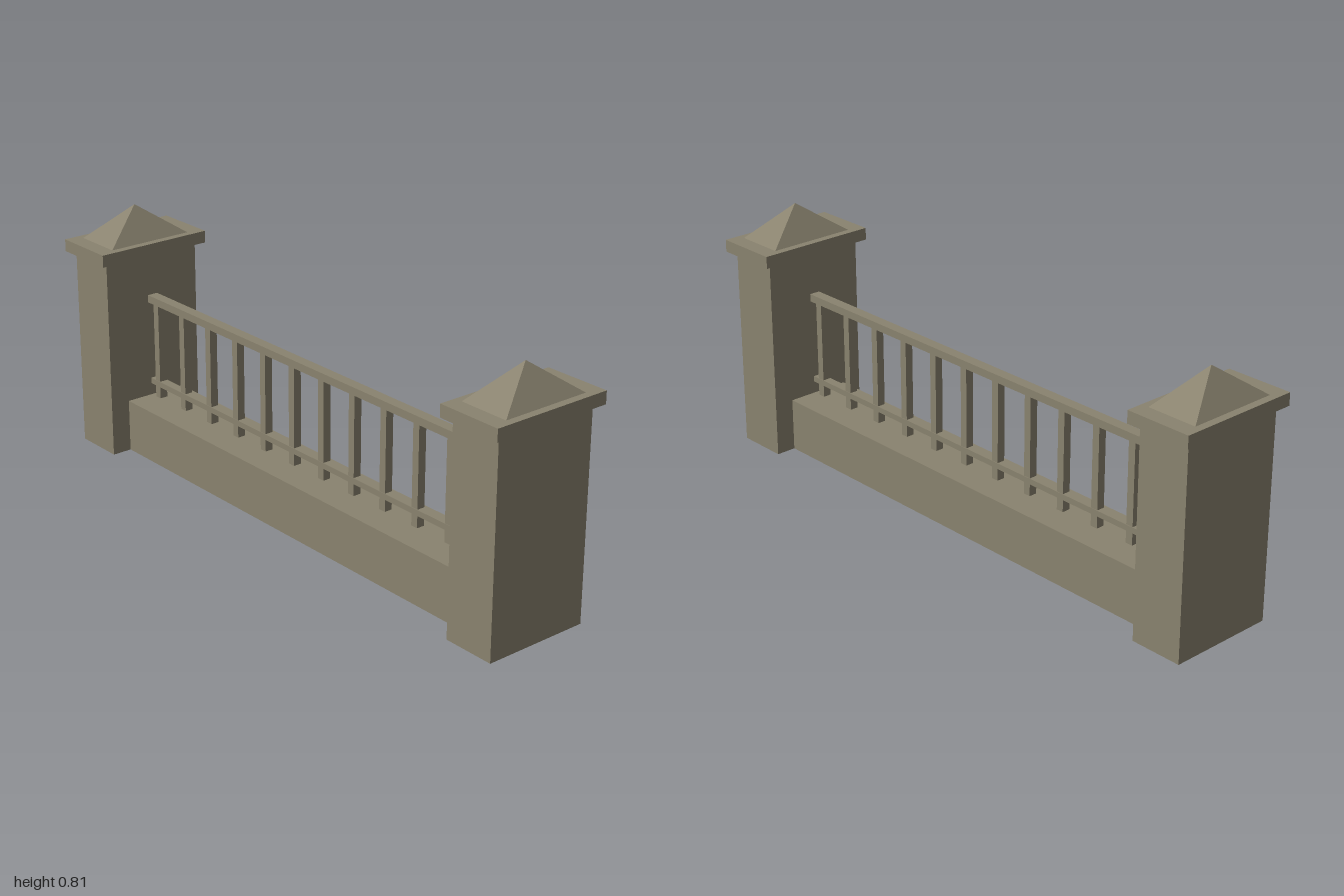
import * as THREE from 'three';

export function createModel() {
  const model = new THREE.Group();
  const stone = new THREE.MeshStandardMaterial({ color: 0x8a836f });
  stone.name = 'weathered stone';

  function add(parent, name, geometry, x, y, z) {
    const mesh = new THREE.Mesh(geometry, stone);
    mesh.name = name;
    mesh.position.set(x, y, z);
    parent.add(mesh);
    return mesh;
  }

  // Box given by its centre x, bottom and top heights, width and depth
  function block(parent, name, x, y0, y1, width, depth) {
    return add(parent, name, new THREE.BoxGeometry(width, y1 - y0, depth), x, (y0 + y1) / 2, 0);
  }

  // Four-sided pyramid with its base edges along x and z
  function pyramid(width, height, depth) {
    const g = new THREE.ConeGeometry(Math.SQRT1_2, height, 4, 1).toNonIndexed();
    g.rotateY(Math.PI / 4);
    g.scale(width, 1, depth);
    g.computeVertexNormals();
    return g;
  }

  // End pillars with overhanging caps and pointed tops
  for (const side of [-1, 1]) {
    const pillar = new THREE.Group();
    pillar.name = side > 0 ? 'leftPillar' : 'rightPillar';
    pillar.position.x = side * 0.892;
    block(pillar, 'pillarShaft', 0, 0, 0.665, 0.172, 0.35);
    block(pillar, 'pillarCap', 0, 0.665, 0.705, 0.216, 0.404);
    add(pillar, 'pillarPoint', pyramid(0.166, 0.105, 0.296), 0, 0.7575, 0);
    model.add(pillar);
  }

  // Low wall between the pillars
  block(model, 'baseWall', 0, 0, 0.175, 1.62, 0.216);

  // Railing: two rails and a row of balusters
  const railing = new THREE.Group();
  railing.name = 'railing';
  block(railing, 'topRail', 0, 0.5, 0.525, 1.62, 0.036);
  block(railing, 'lowerRail', 0, 0.215, 0.234, 1.62, 0.03);
  for (let i = 0; i < 12; i++) {
    block(railing, 'baluster', -0.77 + i * 0.14, 0.17, 0.505, 0.025, 0.027);
  }
  model.add(railing);

  return model;
}
